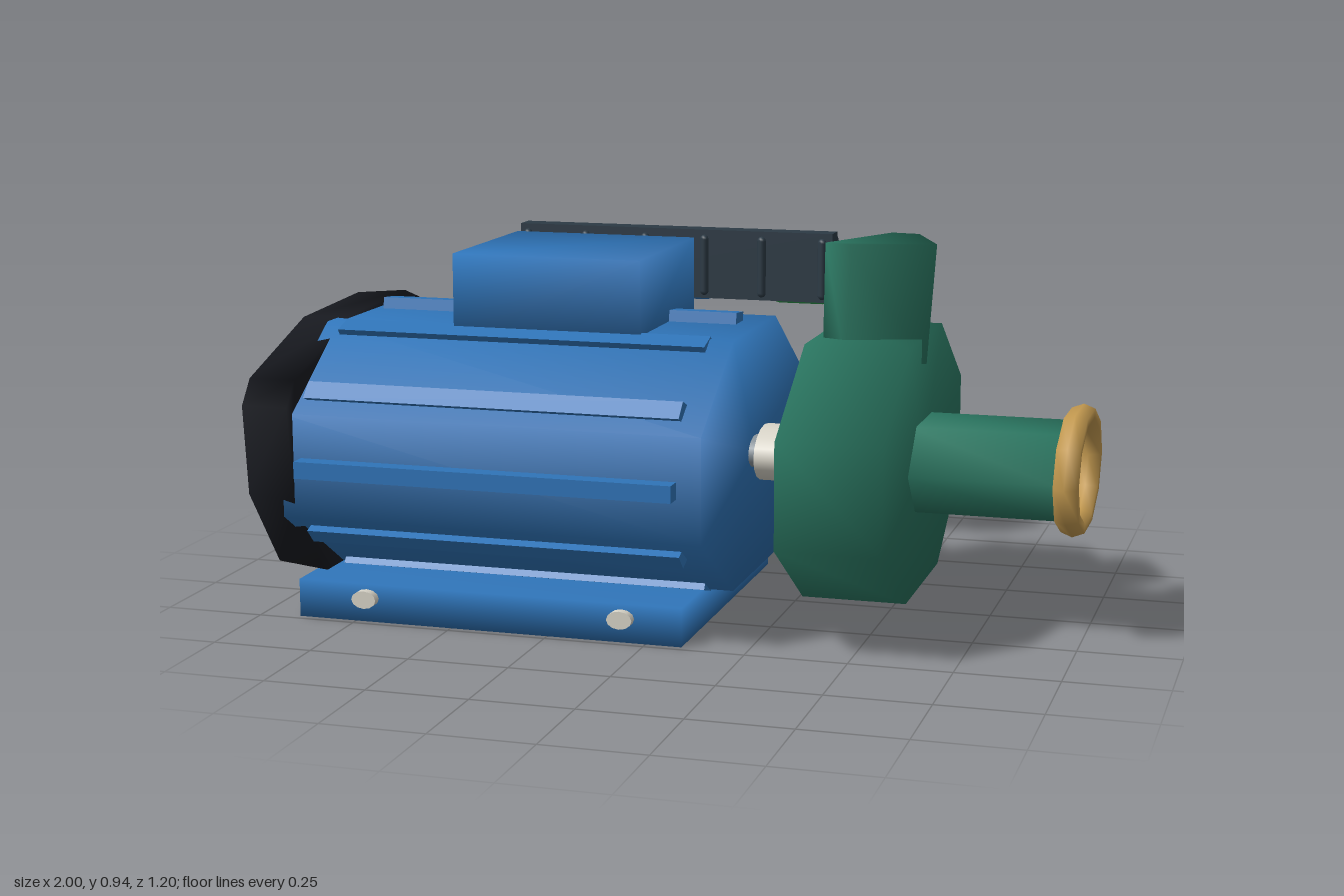
import * as THREE from 'three';
import { mergeVertices } from 'three/addons/utils/BufferGeometryUtils.js';

const BLUE = 0x2f74b8, GREEN = 0x2a7560, BLACK = 0x181a20, SLATE = 0x2c3a45;
const BRASS = 0xc49a50, STEEL = 0x8a949b, CREAM = 0xd8d4c8;

const mat = (color) => new THREE.MeshStandardMaterial({ color, side: THREE.DoubleSide });

// Soft shading: share corners so normals blend across the faces
function smooth(geo) {
  geo.deleteAttribute('normal');
  geo.deleteAttribute('uv');
  const g = mergeVertices(geo, 1e-4);
  g.computeVertexNormals();
  return g;
}

function add(parent, name, geo, color, x = 0, y = 0, z = 0) {
  const m = new THREE.Mesh(geo, mat(color));
  m.name = name;
  m.position.set(x, y, z);
  parent.add(m);
  return m;
}

// Box given by its limits on each axis
function block(parent, name, color, [x0, x1], [y0, y1], [z0, z1], soft = false) {
  const g = new THREE.BoxGeometry(x1 - x0, y1 - y0, z1 - z0);
  return add(parent, name, soft ? smooth(g) : g, color, (x0 + x1) / 2, (y0 + y1) / 2, (z0 + z1) / 2);
}

// Prism along the x axis
function prism(x0, x1, r, sides, turn = 0) {
  const g = new THREE.CylinderGeometry(r, r, x1 - x0, sides, 1, false, turn);
  g.rotateZ(-Math.PI / 2);
  g.translate((x0 + x1) / 2, 0, 0);
  return g;
}

// Move every vertex by a rule
function bend(geo, rule) {
  const p = geo.attributes.position, v = new THREE.Vector3();
  for (let i = 0; i < p.count; i++) {
    rule(v.fromBufferAttribute(p, i));
    p.setXYZ(i, v.x, v.y, v.z);
  }
  return geo;
}

function extrude(points, depth) {
  const shape = new THREE.Shape(points.map(([x, y]) => new THREE.Vector2(x, y)));
  return new THREE.ExtrudeGeometry(shape, { depth, bevelEnabled: false });
}

// Everything turning about the shaft, flattened to an oval
function buildRotaryParts(root) {
  const g = new THREE.Group();
  g.name = 'motorAndPump';
  g.position.set(0, 0.4, 0.07);
  g.scale.y = 0.64;
  root.add(g);

  add(g, 'motorBody', smooth(prism(-0.9, 0.16, 0.525, 8, Math.PI / 8)), BLUE);

  // Cooling fins
  for (let i = 0; i < 11; i++) {
    const a = (i / 11) * Math.PI * 2;
    const fin = new THREE.BoxGeometry(0.95, 0.065, 0.05);
    fin.translate(-0.375, 0, 0.505);
    fin.rotateX(-a);
    add(g, 'coolingFin', fin, BLUE);
  }

  // Fan cover: a twisted square with cut corners, narrower at the rear
  const outline = [];
  for (let i = 0; i < 4; i++) {
    for (const [deg, r] of [[24, 0.565], [35, 0.57], [75, 0.51]]) {
      const a = THREE.MathUtils.degToRad(deg + i * 90);
      outline.push([-r * Math.cos(a), r * Math.sin(a)]);
    }
  }
  const cover = extrude(outline, 0.13);
  cover.rotateY(Math.PI / 2);
  cover.translate(-1, 0, 0);
  bend(cover, (v) => {
    if (v.x < -0.95) { v.y *= 0.97; v.z *= 0.95; }
  });
  add(g, 'fanCover', smooth(cover), BLACK);

  add(g, 'shaft', prism(0.15, 0.35, 0.063, 14), STEEL);
  add(g, 'shaftCollar', prism(0.185, 0.245, 0.108, 16), CREAM);
  add(g, 'pumpCasing', smooth(prism(0.335, 0.59, 0.525, 8, Math.PI / 8)), GREEN);
  add(g, 'inletPipe', smooth(prism(0.57, 0.95, 0.19, 6)), GREEN, 0, 0, 0.01);

  const ring = new THREE.TorusGeometry(0.212, 0.033, 6, 10);
  ring.rotateY(Math.PI / 2);
  add(g, 'inletFlange', ring, BRASS, 0.967);
}

// Upright discharge pipe on the casing
function buildOutlet(root) {
  const pipe = extrude([[0.355, -0.15], [0.42, -0.17], [0.62, -0.11], [0.54, 0.075], [0.47, 0.085]], 0.29);
  pipe.rotateX(-Math.PI / 2);
  pipe.translate(0, 0.65, 0);
  bend(pipe, (v) => {
    if (v.y < 0.8) {
      v.x = 0.355 + (v.x - 0.355) * 0.93;
      v.z = 0.045 + (v.z - 0.045) * 1.16;
    }
  });
  add(root, 'outletPipe', smooth(pipe), GREEN);
}

// Base plate with side screws, and the box on top
function buildBaseAndBox(root) {
  block(root, 'basePlate', BLUE, [-0.9, 0.09], [0, 0.095], [-0.335, 0.48], true);
  for (const x of [-0.72, -0.06]) {
    const screw = new THREE.CylinderGeometry(0.032, 0.032, 0.03, 12);
    screw.rotateX(Math.PI / 2);
    add(root, 'baseScrew', screw, CREAM, x, 0.06, 0.487).scale.y = 0.7;
  }
  block(root, 'junctionBox', BLUE, [-0.56, -0.075], [0.68, 0.895], [-0.195, 0.27], true);
}

// Terminal strip behind the motor, screws facing back
function buildTerminalStrip(root) {
  const g = new THREE.Group();
  g.name = 'terminalStrip';
  root.add(g);
  block(g, 'stripBack', SLATE, [-0.64, 0.235], [0.7, 0.885], [-0.495, -0.437]);
  block(g, 'stripLedge', SLATE, [-0.64, 0.235], [0.7, 0.715], [-0.588, -0.49]);

  // Dividers between the bays, sloping at the top
  for (const x of [-0.634, -0.37, -0.035, 0.229]) {
    const wall = extrude([[0.49, 0.71], [0.585, 0.71], [0.585, 0.8], [0.53, 0.845], [0.49, 0.88]], 0.012);
    wall.rotateY(Math.PI / 2);
    add(g, 'bayDivider', wall, SLATE, x - 0.006);
  }

  const lamps = [0xb5602c, 0x2f74b8, 0x2e9a4c];
  [-0.535, -0.2, 0.125].forEach((x, i) => {
    // Ribs on the front face
    for (const s of [-1, 1]) {
      add(g, 'stripRib', new THREE.CapsuleGeometry(0.012, 0.14, 3, 8), SLATE, x + s * 0.083, 0.79, -0.435);
    }
    block(g, 'terminalBracket', BRASS, [x - 0.073, x + 0.073], [0.725, 0.85], [-0.525, -0.494]);
    for (const s of [-1, 1]) {
      add(g, 'terminalSide', new THREE.BoxGeometry(0.01, 0.12, 0.06), BRASS, x + s * 0.062, 0.785, -0.54);
    }
    block(g, 'clampPlate', CREAM, [x - 0.056, x + 0.056], [0.765, 0.865], [-0.562, -0.52]);

    // Slotted screw head
    const head = new THREE.CylinderGeometry(0.034, 0.034, 0.035, 14);
    head.rotateX(Math.PI / 2);
    add(g, 'terminalScrew', head, CREAM, x, 0.81, -0.578);
    add(g, 'screwSlot', new THREE.BoxGeometry(0.055, 0.008, 0.004), STEEL, x, 0.81, -0.596).rotation.z = 0.5;

    // Indicator lamp under the ledge
    const lamp = new THREE.CapsuleGeometry(0.018, 0.12, 3, 8);
    lamp.rotateZ(Math.PI / 2);
    add(g, 'indicatorLamp', lamp, lamps[i], x, 0.698, -0.542);
  });
}

export function createModel() {
  const root = new THREE.Group();
  root.name = 'motorPump';
  buildRotaryParts(root);
  buildOutlet(root);
  buildBaseAndBox(root);
  buildTerminalStrip(root);
  return root;
}
